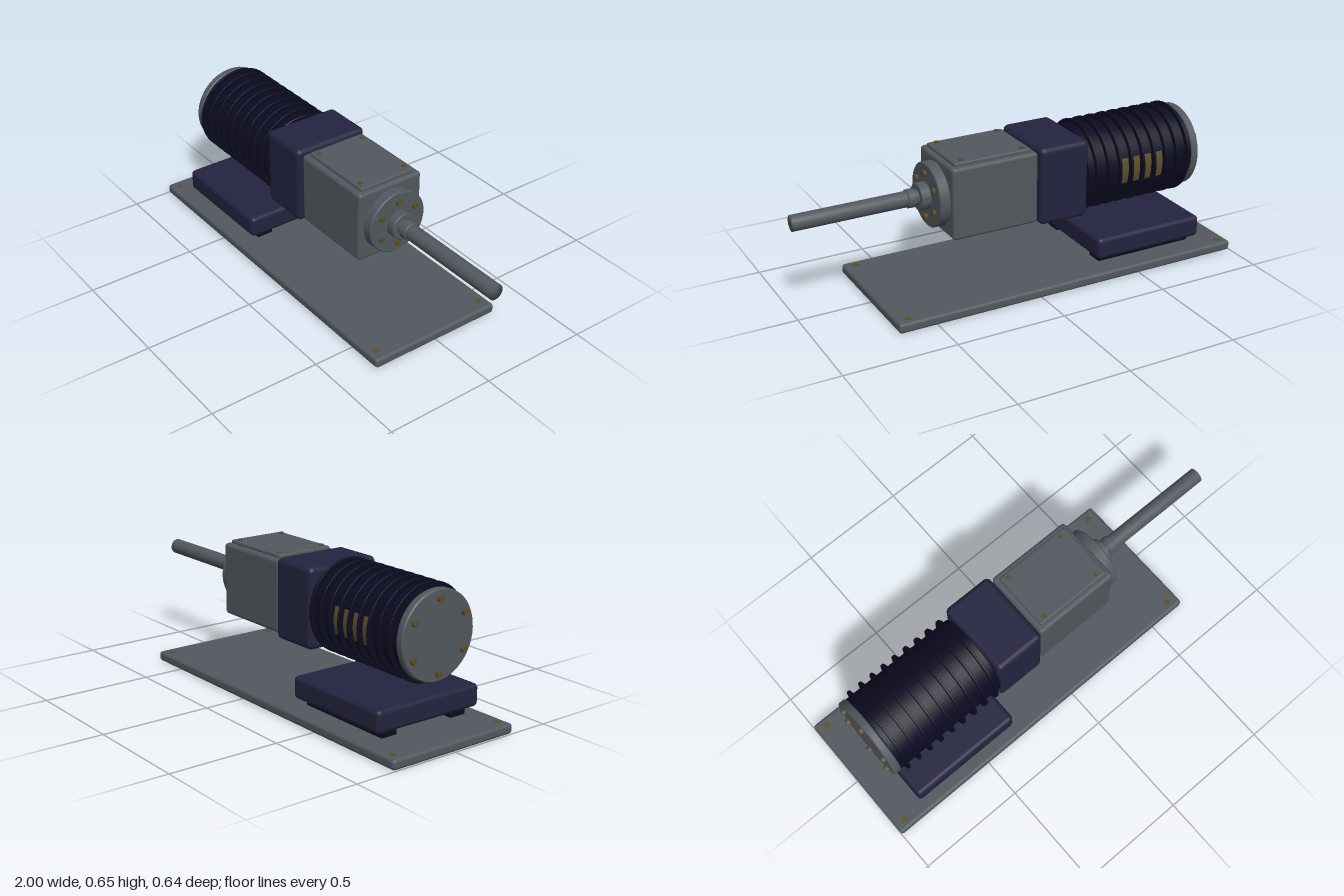
import * as THREE from 'three';
import { RoundedBoxGeometry } from 'three/addons/geometries/RoundedBoxGeometry.js';
import { toCreasedNormals } from 'three/addons/utils/BufferGeometryUtils.js';

const AXIS_Y = 0.447;

export function createModel() {
  const root = new THREE.Group();
  root.name = 'gearedMotor';
  const material = (name, color) => {
    const m = new THREE.MeshStandardMaterial({ color });
    m.name = name;
    return m;
  };
  const steel = material('steelGrey', 0x52585e);
  const navy = material('navyPaint', 0x23233f);
  const dark = material('darkNavy', 0x0b0b22);
  const brass = material('brass', 0x5c4e2a);

  const add = (name, geometry, mat, x = 0, y = 0, z = 0) => {
    const mesh = new THREE.Mesh(geometry, mat);
    mesh.name = name;
    mesh.position.set(x, y, z);
    root.add(mesh);
    return mesh;
  };
  // Rounded box given by its extents along each axis
  const box = (name, mat, [x0, x1], [y0, y1], [z0, z1], r) =>
    add(name, new RoundedBoxGeometry(x1 - x0, y1 - y0, z1 - z0, 3, r), mat,
      (x0 + x1) / 2, (y0 + y1) / 2, (z0 + z1) / 2);
  // Solid of revolution along x, with a small bevel on both rims
  const disc = (name, mat, x0, x1, r, bevel = 0.003) => {
    const profile = [[0, x0], [r - bevel, x0], [r, x0 + bevel], [r, x1 - bevel], [r - bevel, x1], [0, x1]]
      .map(([a, b]) => new THREE.Vector2(a, b));
    const g = toCreasedNormals(new THREE.LatheGeometry(profile, 48), 0.6);
    g.rotateZ(-Math.PI / 2);
    // the turn maps the profile height onto +x
    return add(name, g, mat, 0, AXIS_Y, 0);
  };
  // Hexagonal bolt head, upright or lying along x
  const bolt = (name, x, y, z, r, h, alongX) => {
    const g = new THREE.CylinderGeometry(r, r, h, 6);
    if (alongX) g.rotateZ(-Math.PI / 2);
    return add(name, g, brass, x, y, z);
  };
  const boltCircle = (name, x, ring, r, h) => {
    for (let i = 0; i < 6; i++) {
      const a = Math.PI / 2 + (i * Math.PI) / 3;
      bolt(name, x, AXIS_Y + ring * Math.sin(a), ring * Math.cos(a), r, h, true);
    }
  };

  // Base plate with corner bolts
  box('basePlate', steel, [-1, 0.675], [0, 0.045], [-0.32, 0.32], 0.014);
  for (const x of [-0.95, 0.62])
    for (const z of [-0.28, 0.28]) bolt('baseBolt', x, 0.042, z, 0.016, 0.01, false);

  // Motor foot on two rubber strips
  for (const s of [-1, 1])
    box('footStrip', dark, [-0.82, -0.34], [0.052, 0.08], [s * 0.185 - 0.04, s * 0.185 + 0.04], 0.006);
  box('motorFoot', navy, [-0.85, -0.31], [0.085, 0.185], [-0.272, 0.272], 0.02);

  // Motor drum with cooling fins
  disc('motorDrum', dark, -0.85, -0.305, 0.185);
  for (let i = 0; i < 9; i++) {
    const x = -0.82 + i * 0.06;
    disc('coolingFin', dark, x - 0.005, x + 0.005, 0.207, 0.001);
  }

  // Brass vents between the fins on the rear side
  for (let i = 0; i < 4; i++) {
    const vent = new THREE.CylinderGeometry(0.189, 0.189, 0.036, 8, 1, true, Math.PI - 0.32, 0.64);
    vent.rotateZ(-Math.PI / 2);
    add('vent', vent, brass, -0.49 - i * 0.06, AXIS_Y, 0);
  }

  // Motor end cap
  disc('endCap', steel, -0.885, -0.85, 0.19, 0.005);
  boltCircle('endCapBolt', -0.891, 0.153, 0.015, 0.018);

  // Adapter and gearbox
  box('adapter', navy, [-0.305, -0.067], [0.268, 0.626], [-0.18, 0.18], 0.024);
  box('gearbox', steel, [-0.062, 0.345], [0.282, 0.61], [-0.163, 0.163], 0.016);
  box('gearboxCover', steel, [-0.04, 0.325], [0.605, 0.625], [-0.138, 0.138], 0.008);
  for (const x of [-0.005, 0.285])
    for (const z of [-0.115, 0.115]) bolt('coverBolt', x, 0.625, z, 0.011, 0.012, false);

  // Output flange, hub and shaft
  disc('outputFlange', steel, 0.345, 0.395, 0.143, 0.004);
  boltCircle('flangeBolt', 0.401, 0.1, 0.014, 0.016);
  disc('bearingHub', steel, 0.395, 0.44, 0.06);
  disc('shaftCollar', steel, 0.453, 0.49, 0.041);
  const shaft = new THREE.LatheGeometry(
    [[0, 0.43], [0.035, 0.43], [0.035, 1], [0, 1]].map(([a, b]) => new THREE.Vector2(a, b)), 40);
  shaft.rotateZ(-Math.PI / 2);
  add('outputShaft', shaft, steel, 0, AXIS_Y, 0);

  return root;
}
